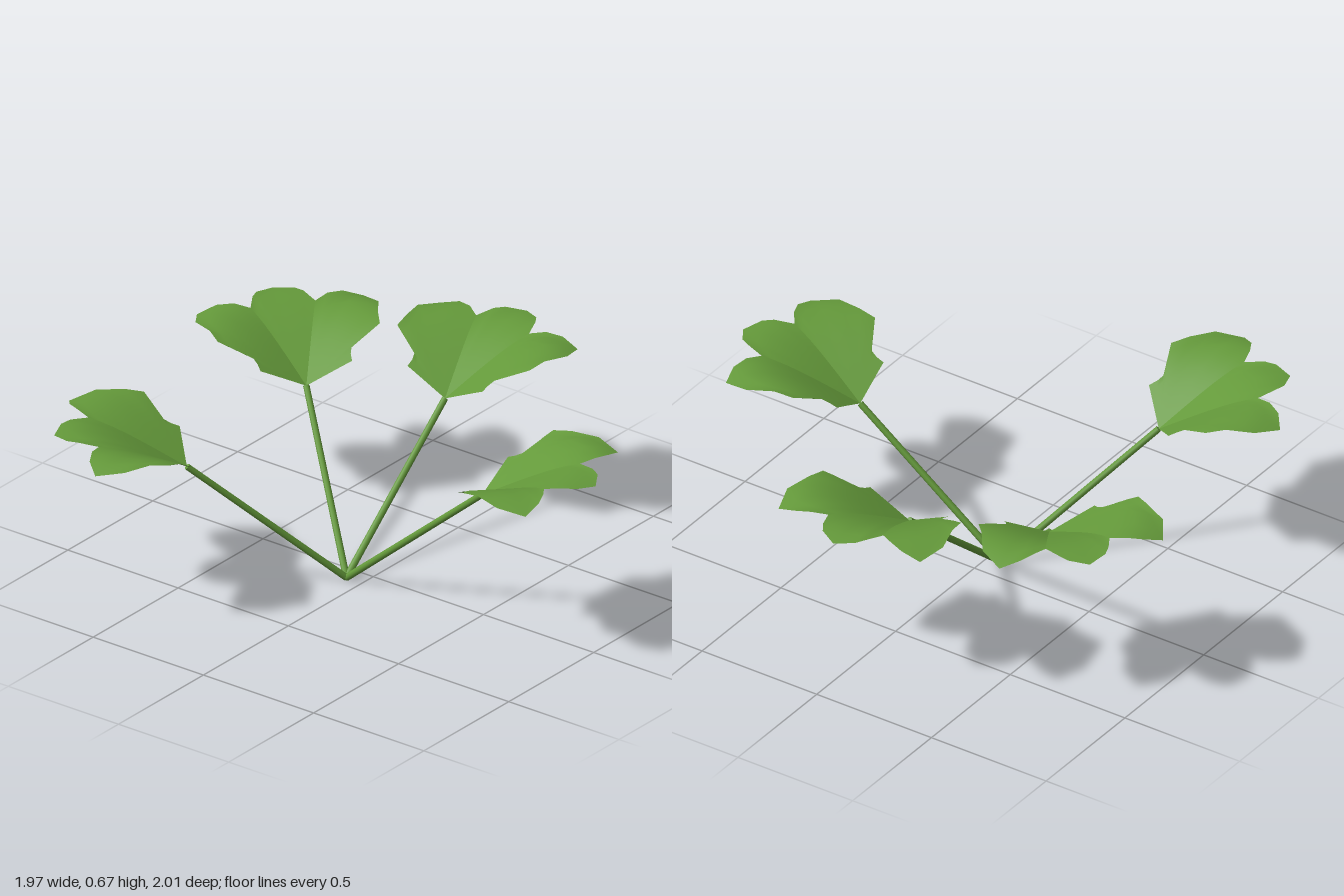
import * as THREE from 'three';
import { mergeGeometries } from 'three/addons/utils/BufferGeometryUtils.js';

// Half outline of a leaf, midrib to back edge, as [radius, degrees] about its base
const CENTRE = [[0.483, 0], [0.452, 9], [0.42, 13], [0.36, 19.5]];
const SIDE = [[0.36, 19.5], [0.41, 25], [0.455, 31], [0.49, 39], [0.44, 50.5],
  [0.36, 60], [0.32, 70], [0.19, 73], [0.175, 80], [0.17, 90]];
const CREASE = 19.5, SIDE_AXIS = 50, RINGS = 8;

const cosDeg = (d) => Math.cos(THREE.MathUtils.degToRad(d));
const sinDeg = (d) => Math.sin(THREE.MathUtils.degToRad(d));

// Each lobe is bent along its own axis, so lobes meet in a crease
function leafHeight(r, deg) {
  const a = Math.abs(deg);
  const k = a <= CREASE ? cosDeg(a)
    : cosDeg(CREASE) * cosDeg(a - SIDE_AXIS) / cosDeg(CREASE - SIDE_AXIS);
  const g = r * k;
  return 0.56 * g - 2.0 * g ** 4;
}

// One lobe: rings running from the base to the outline, points in rising angle
function lobeGeometry(outline) {
  const pos = [], index = [], n = outline.length;
  for (let i = 0; i <= RINGS; i++) {
    for (const [radius, deg] of outline) {
      const r = radius * Math.max(i / RINGS, 0.002);
      pos.push(r * cosDeg(deg), leafHeight(r, deg), r * sinDeg(deg));
    }
  }
  for (let i = 0; i < RINGS; i++) {
    for (let j = 0; j < n - 1; j++) {
      const a = i * n + j, b = a + 1, c = a + n, d = c + 1;
      index.push(a, d, c, a, b, d);
    }
  }
  const geo = new THREE.BufferGeometry();
  geo.setAttribute('position', new THREE.Float32BufferAttribute(pos, 3));
  geo.setIndex(index);
  geo.computeVertexNormals();
  return geo;
}

export function createModel() {
  const green = new THREE.MeshStandardMaterial({ color: 0x64993a, side: THREE.DoubleSide });
  green.name = 'leafGreen';

  const mirror = (pts) => pts.map(([r, d]) => [r, -d]).reverse();
  const leafGeo = mergeGeometries([
    lobeGeometry(mirror(SIDE)),
    lobeGeometry([...mirror(CENTRE).slice(0, -1), ...CENTRE]),
    lobeGeometry(SIDE),
  ]);

  // Straight stem leaning outward to the leaf base
  const reach = 0.58, rise = 0.5, foot = 0.01;
  const from = new THREE.Vector3(0, foot, 0), to = new THREE.Vector3(reach, rise, 0);
  const along = to.clone().sub(from);
  const stemGeo = new THREE.CylinderGeometry(0.012, 0.013, along.length(), 8);
  stemGeo.applyQuaternion(new THREE.Quaternion().setFromUnitVectors(
    new THREE.Vector3(0, 1, 0), along.clone().normalize()));
  stemGeo.translate(reach / 2, (foot + rise) / 2, 0);

  const plant = new THREE.Group();
  plant.name = 'plant';
  const headings = { left: 0, backLeft: -52, backRight: -136.4, front: 85 };
  for (const [name, deg] of Object.entries(headings)) {
    const frond = new THREE.Group();
    frond.name = name + 'Frond';
    const stem = new THREE.Mesh(stemGeo, green);
    stem.name = 'stem';
    const leaf = new THREE.Mesh(leafGeo, green);
    leaf.name = 'leaf';
    leaf.position.set(reach, rise, 0);
    frond.add(stem, leaf);
    frond.rotation.y = -THREE.MathUtils.degToRad(deg);
    frond.position.set(-0.08, 0, -0.06);
    plant.add(frond);
  }
  return plant;
}
